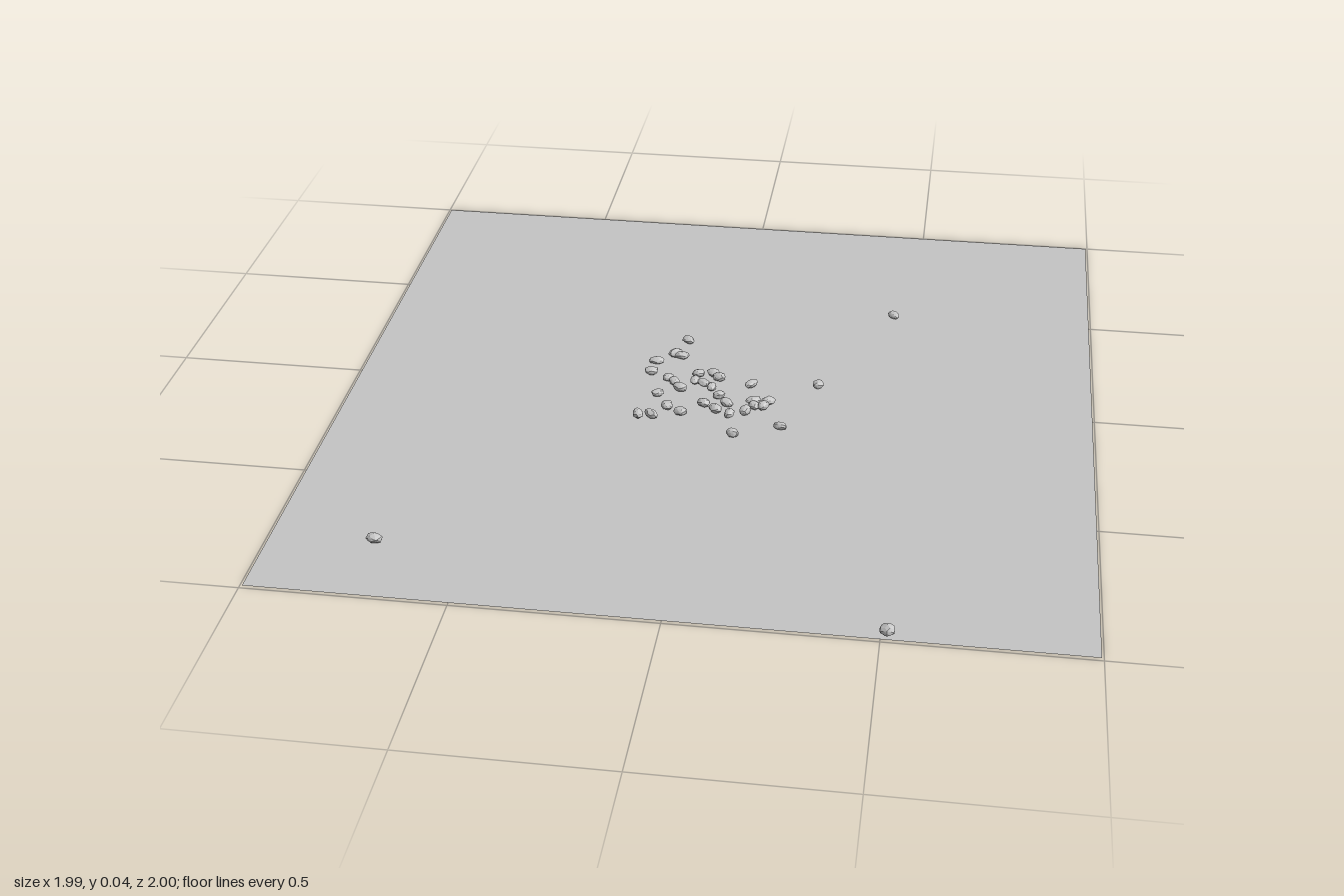
import * as THREE from 'three';
import { mergeVertices } from 'three/addons/utils/BufferGeometryUtils.js';

// small seeded generator
function seeded(seed) {
  let s = seed;
  return () => (s = (s * 16807) % 2147483647) / 2147483647;
}

// lumpy pebble: a sphere of facets with gently pushed vertices, scaled to half sizes
function pebbleGeometry(rand, a, h, b) {
  const raw = new THREE.IcosahedronGeometry(1, 1);
  raw.deleteAttribute('normal');
  raw.deleteAttribute('uv');
  const geo = mergeVertices(raw, 1e-3);
  const p = geo.attributes.position;
  for (let i = 0; i < p.count; i++) {
    const k = 0.86 + 0.2 * rand();
    p.setXYZ(i, p.getX(i) * k * a, p.getY(i) * k * h, p.getZ(i) * k * b);
  }
  geo.computeVertexNormals();
  return geo;
}

export function createModel() {
  const model = new THREE.Group();
  const stone = new THREE.MeshStandardMaterial({ color: 0xc6c6c6, flatShading: true });
  const ground = new THREE.MeshStandardMaterial({ color: 0xc4c4c4, side: THREE.DoubleSide });
  stone.name = 'pebble grey';
  ground.name = 'ground grey';

  // flat square base
  const base = new THREE.Mesh(new THREE.PlaneGeometry(1.99, 1.99).rotateX(-Math.PI / 2), ground);
  base.name = 'groundSheet';
  base.position.z = -0.005;
  model.add(base);

  // pebble centres on the sheet (x, z)
  const spots = [
    [0.44, -0.49], [-0.735, 0.78], [0.26, -0.075], [0.18, 0.145], [0.06, 0.2],
    [-0.125, -0.27], [-0.15, -0.19], [-0.13, -0.18], [-0.195, -0.145], [-0.2, -0.085],
    [-0.15, -0.06], [-0.13, -0.04], [-0.11, -0.01], [-0.07, -0.09], [-0.075, -0.055],
    [-0.05, -0.045], [-0.03, -0.1], [-0.012, -0.075], [-0.025, -0.025], [0, 0.015],
    [0.08, -0.055], [-0.165, 0.025], [-0.13, 0.085], [-0.09, 0.11], [-0.165, 0.135],
    [-0.2, 0.14], [-0.035, 0.06], [0, 0.085], [0.025, 0.05], [0.04, 0.105],
    [0.08, 0.085], [0.095, 0.03], [0.1, 0.055], [0.135, 0.03], [0.125, 0.055],
  ];
  const rand = seeded(4711);
  const pebbles = new THREE.Group();
  pebbles.name = 'pebbles';
  model.add(pebbles);

  function addPebble(x, y, z, a, h, b, yaw) {
    const mesh = new THREE.Mesh(pebbleGeometry(rand, a, h, b), stone);
    mesh.name = 'pebble';
    mesh.position.set(x, y, z);
    mesh.rotation.y = yaw;
    pebbles.add(mesh);
  }

  for (const [x, z] of spots) {
    const h = 0.009 + 0.004 * rand();
    addPebble(x, h + 0.001, z, 0.018 + 0.005 * rand(), h, 0.013 + 0.004 * rand(), rand() * Math.PI);
  }
  // taller pebble overhanging the front edge
  addPebble(0.515, 0.021, 0.979, 0.02, 0.014, 0.019, 0);
  return model;
}
